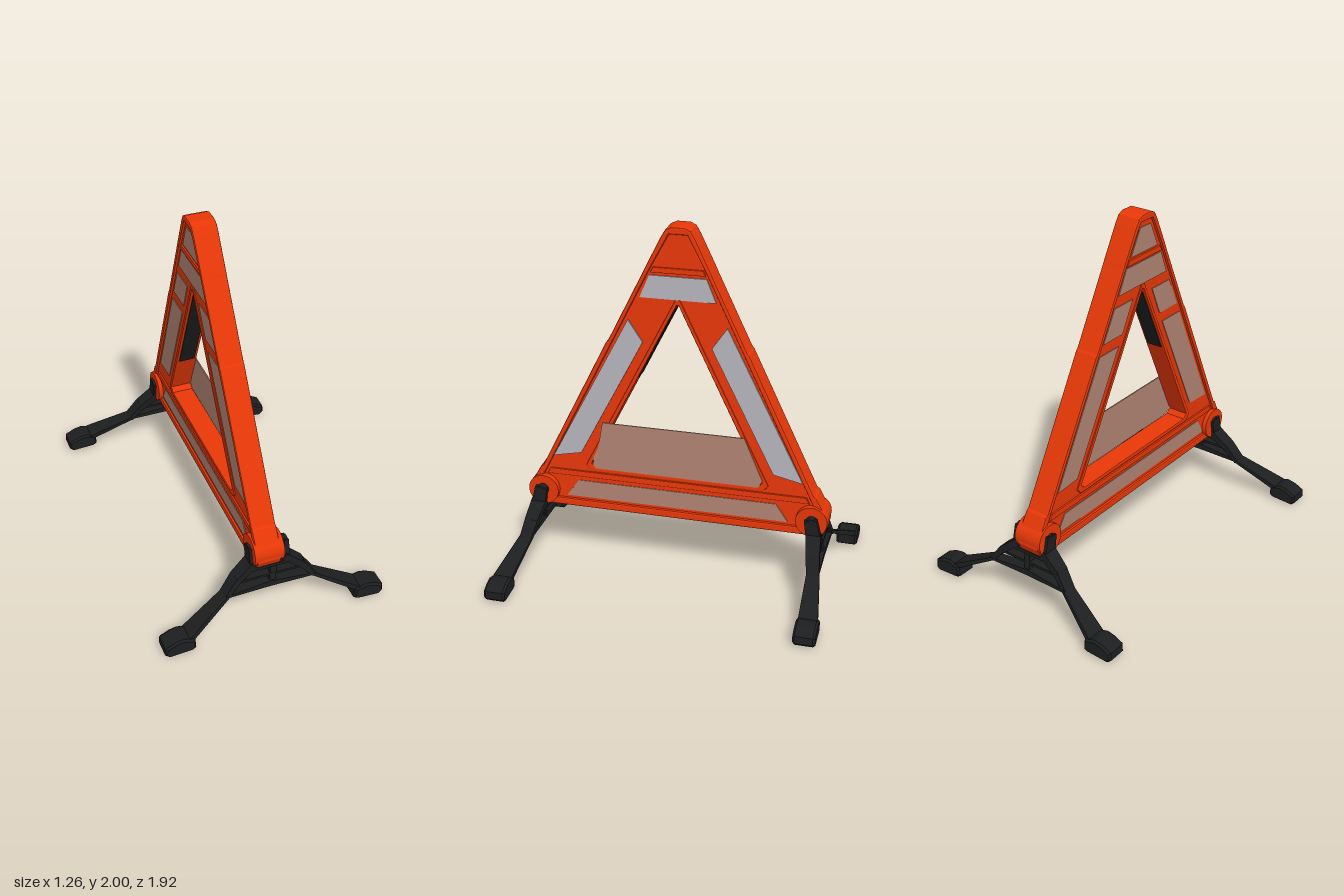
import * as THREE from 'three';

const mat = (name, color) => Object.assign(new THREE.MeshStandardMaterial({ color }), { name });

export function createModel() {
  const group = new THREE.Group();
  const orange = mat('signal orange', 0xf03a08);
  const silver = mat('silver reflector', 0xb6b5bd);
  const brown = mat('tinted panel', 0xb08473);
  const black = mat('black plastic', 0x1d1e1f);

  const add = (name, geo, material, parent = group) => {
    const mesh = new THREE.Mesh(geo, material);
    mesh.name = name;
    parent.add(mesh);
    return mesh;
  };

  // The whole sign leans towards -x as it rises
  const leanX = y => -0.015 - (y - 0.4) * 0.04;
  const toShape = (pts, Type) => new Type(pts.map(([z, y]) => new THREE.Vector2(-z, y)));

  // Slab with a (z, y) outline between two x offsets from the leaning mid plane
  function slab(name, pts, x0, x1, material, holes = [], bevel = 0) {
    const shape = toShape(pts, THREE.Shape);
    shape.holes = holes.map(h => toShape(h, THREE.Path));
    const geo = new THREE.ExtrudeGeometry(shape, {
      depth: x1 - x0 - 2 * bevel, bevelEnabled: bevel > 0, bevelSegments: 2,
      bevelSize: bevel, bevelThickness: bevel, bevelOffset: -bevel,
    });
    geo.translate(0, 0, x0 + bevel).rotateY(Math.PI / 2);
    const p = geo.attributes.position;
    for (let i = 0; i < p.count; i++) p.setX(i, p.getX(i) + leanX(p.getY(i)));
    geo.computeVertexNormals();
    return add(name, geo, material);
  }
  const flip = pts => pts.map(([z, y]) => [-z, y]);
  const mirrored = half => [...flip(half), ...[...half].reverse()];

  // Triangle outline with slight steps at the segment joints
  const outer = mirrored([[0.80, 0.34], [0.835, 0.355], [0.855, 0.40], [0.85, 0.45], [0.787, 0.565],
    [0.772, 0.575], [0.395, 1.34], [0.384, 1.352], [0.188, 1.75], [0.181, 1.766],
    [0.092, 1.945], [0.068, 1.985], [0.035, 2.0]]);
  const rimHole = mirrored([[0.785, 0.385], [0.80, 0.455], [0.151, 1.77], [0.05, 1.96]]);
  const opening = mirrored([[0.46, 0.59], [0.485, 0.615], [0.005, 1.58]]);
  const lip = mirrored([[0.49, 0.565], [0.52, 0.60], [0.012, 1.61]]);

  slab('frameCore', outer, -0.054, 0.054, orange, [opening], 0.008);
  slab('frameRim', outer, -0.068, 0.068, orange, [rimHole], 0.009);
  slab('openingLip', lip, -0.061, 0.061, orange, [opening], 0.006);

  // Cross ribs on the frame faces
  for (const [y0, y1, w0, w1] of [[1.75, 1.78, 0.15, 0.135], [0.525, 0.56, 0.75, 0.73]])
    slab('crossRib', mirrored([[w0, y0], [w1, y1]]), -0.064, 0.064, orange, [], 0.005);

  // Reflectors on the +x face
  const face = 0.058;
  slab('upperReflector', mirrored([[0.208, 1.61], [0.155, 1.735]]), 0.052, face + 0.003, silver);
  slab('lowerReflector', mirrored([[0.635, 0.4], [0.565, 0.5]]), 0.052, face, brown);
  const armStrip = [[0.272, 1.48], [0.19, 1.36], [0.545, 0.675], [0.708, 0.64]];
  for (const s of [armStrip, flip(armStrip)]) slab('armReflector', s, 0.052, face + 0.005, silver);

  // Reflectors on the -x face
  slab('rearApexReflector', mirrored([[0.115, 1.79], [0.045, 1.93]]), -face, -0.052, brown);
  slab('rearUpperReflector', mirrored([[0.208, 1.61], [0.15, 1.74]]), -face, -0.052, brown);
  slab('rearLowerReflector', mirrored([[0.68, 0.405], [0.62, 0.505]]), -face, -0.052, brown);
  const rearLower = [[0.355, 1.32], [0.195, 1.32], [0.52, 0.67], [0.68, 0.66]];
  const rearUpper = [[0.24, 1.55], [0.085, 1.55], [0.165, 1.38], [0.325, 1.38]];
  for (const strip of [rearLower, rearUpper])
    for (const s of [strip, flip(strip)]) slab('rearArmReflector', s, -face, -0.052, brown);

  // Tinted panel on the +x side of the opening, reaching over the lip
  slab('openingPanel', [[0.455, 0.59], [0.477, 0.61], [0.472, 0.66], [0.445, 0.72], [0.42, 0.87],
    [-0.38, 0.87], [-0.487, 0.63], [-0.465, 0.59]], 0.059, 0.066, brown);

  // Dark liners on the inner walls
  const liner = yEnd => {
    const wall = y => 0.005 + (1.58 - y) * 0.4974;
    return [[wall(1.55) + 0.002, 1.55], [wall(1.55) - 0.005, 1.55], [wall(yEnd) - 0.005, yEnd], [wall(yEnd) + 0.002, yEnd]];
  };
  slab('frontLiner', liner(1.15), -0.045, 0.045, black);
  slab('backLiner', flip(liner(0.89)), -0.045, 0.045, black);

  // Tapered bar from a to b; w runs roughly along z, t is the thickness
  function bar(name, parent, a, b, wa, wb, t, tb = t) {
    const A = new THREE.Vector3(...a), B = new THREE.Vector3(...b);
    const dir = B.clone().sub(A), len = dir.length();
    dir.normalize();
    const side = new THREE.Vector3(0, 0, 1).addScaledVector(dir, -dir.z).normalize();
    const across = dir.clone().cross(side);
    const geo = new THREE.BoxGeometry(1, len, 1).toNonIndexed();
    const p = geo.attributes.position;
    for (let i = 0; i < p.count; i++) {
      const end = p.getY(i) > 0;
      p.setX(i, p.getX(i) * (end ? tb : t));
      p.setZ(i, p.getZ(i) * (end ? wb : wa));
    }
    geo.applyMatrix4(new THREE.Matrix4().makeBasis(across, dir, side).setPosition(A.add(B).multiplyScalar(0.5)));
    geo.computeVertexNormals();
    return add(name, geo, black, parent);
  }

  for (const sz of [1, -1]) {
    const stand = new THREE.Group();
    stand.name = sz > 0 ? 'frontStand' : 'backStand';
    group.add(stand);
    const at = (x, y) => [x, y, sz * (0.77 + (0.45 - y) * 0.19)];

    // Pivot boss and hub
    add('pivotBoss', new THREE.CylinderGeometry(0.088, 0.088, 0.166, 28).rotateZ(Math.PI / 2), orange)
      .position.set(-0.014, 0.43, sz * 0.767);
    add('pivotHub', new THREE.CylinderGeometry(0.034, 0.034, 0.222, 16).rotateZ(Math.PI / 2), black, stand)
      .position.set(0, 0.435, sz * 0.77);

    // Arched truss under the pivot
    bar('topBar', stand, at(-0.1, 0.335), at(0.1, 0.335), 0.07, 0.07, 0.02);
    bar('middleBar', stand, at(-0.18, 0.275), at(0.18, 0.275), 0.05, 0.05, 0.014);
    bar('centreStrut', stand, at(0.025, 0.335), at(0.01, 0.215), 0.05, 0.05, 0.035);
    for (const sx of [1, -1]) {
      bar('hubArm', stand, at(sx * 0.1, 0.46), at(sx * 0.095, 0.35), 0.07, 0.08, 0.024, 0.035);
      bar('upperArch', stand, at(sx * 0.085, 0.37), at(sx * 0.19, 0.285), 0.085, 0.075, 0.042, 0.038);
      bar('lowerArch', stand, at(sx * 0.18, 0.295), at(sx * 0.252, 0.207), 0.075, 0.07, 0.038, 0.026);
      bar('bottomBar', stand, at(0, 0.222), at(sx * 0.255, 0.208), 0.06, 0.06, 0.036, 0.014);

      // Leg and wedge foot, each foot turned out slightly differently
      const footZ = sz > 0 ? (sx > 0 ? 0.87 : 0.90) : (sx > 0 ? -0.835 : -0.905);
      bar('leg', stand, at(sx * 0.245, 0.212), [sx * 0.5, 0.075, footZ], 0.072, 0.106, 0.018, 0.03);
      const side = new THREE.Shape([[0.46, 0.025], [0.48, 0.012], [0.61, 0.004], [0.632, 0.025], [0.63, 0.068],
        [0.575, 0.095], [0.53, 0.104], [0.465, 0.085]].map(([x, y]) => new THREE.Vector2(sx * x, y)));
      const foot = new THREE.ExtrudeGeometry(side, {
        depth: 0.096, bevelSize: 0.01, bevelThickness: 0.012, bevelOffset: -0.01, bevelSegments: 1 });
      foot.translate(0, 0, footZ - 0.048);
      add('foot', foot, black, stand);
    }
  }
  return group;
}
